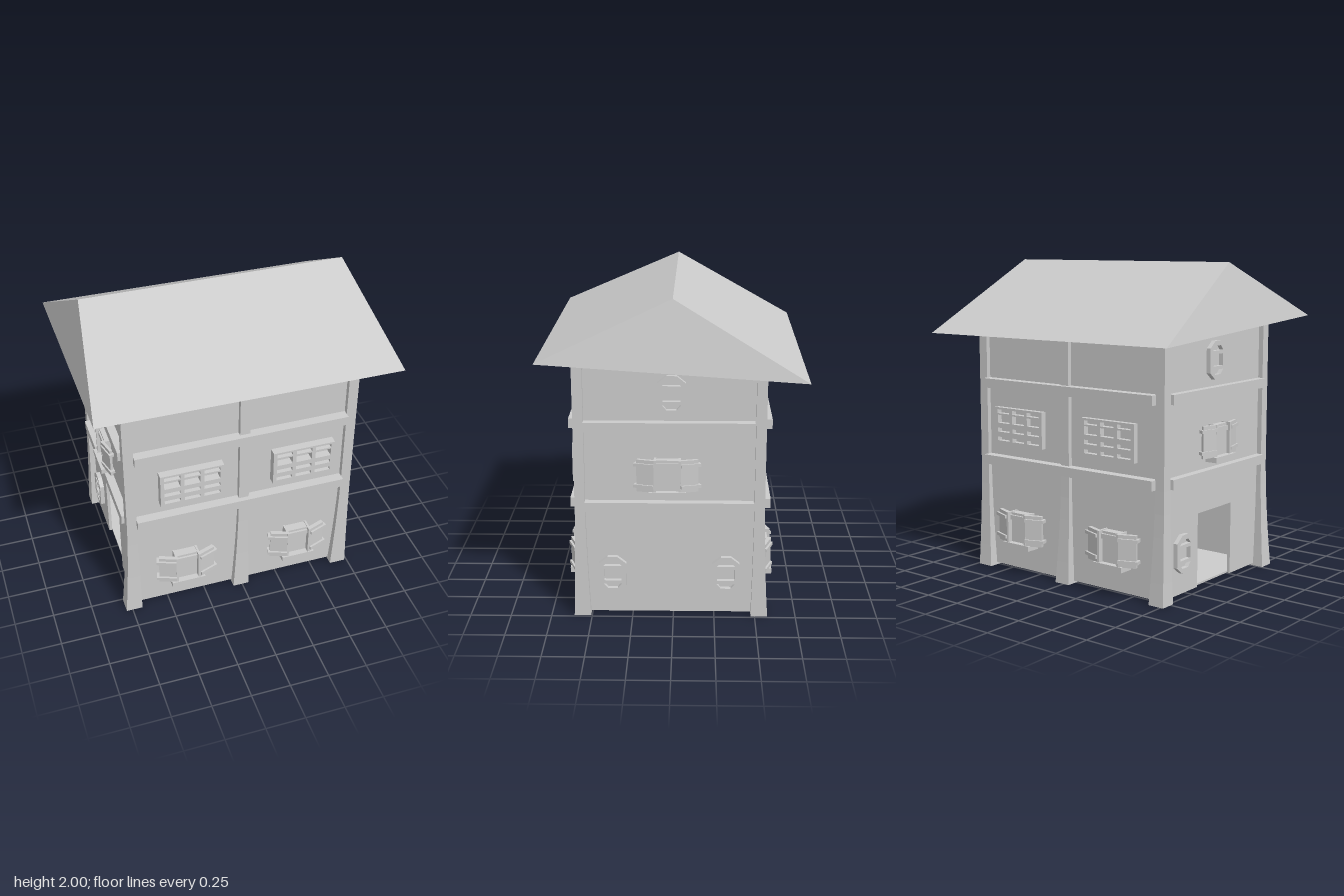
import * as THREE from 'three';

const material = new THREE.MeshStandardMaterial({ color: 0xcccccc, flatShading: true, side: THREE.DoubleSide });

// wall planes of the house
const X0 = -0.72, X1 = 0.70, Z0 = -0.52, Z1 = 0.56, BASE = 0.015, TOP = 1.64;

function add(parent, name, geometry, x = 0, y = 0, z = 0) {
  const mesh = new THREE.Mesh(geometry, material);
  mesh.name = name;
  mesh.position.set(x, y, z);
  parent.add(mesh);
  return mesh;
}

// box given by its limits
function block(parent, name, x0, x1, y0, y1, z0, z1) {
  return add(parent, name, new THREE.BoxGeometry(x1 - x0, y1 - y0, z1 - z0),
    (x0 + x1) / 2, (y0 + y1) / 2, (z0 + z1) / 2);
}

function polygon(points, Type = THREE.Shape) {
  return new Type(points.map(([x, y]) => new THREE.Vector2(x, y)));
}

function rect(x, y, w, h) {
  return [[x - w / 2, y - h / 2], [x + w / 2, y - h / 2], [x + w / 2, y + h / 2], [x - w / 2, y + h / 2]];
}

// plate with cut-outs, standing on z = 0
function plate(outline, holes, depth) {
  const shape = polygon(outline);
  for (const h of holes) shape.holes.push(polygon(h, THREE.Path));
  return new THREE.ExtrudeGeometry(shape, { depth, bevelEnabled: false });
}

// upright post whose foot flares outwards
function post(parent, x, z, footX, footZ, top = 1.65) {
  const geometry = new THREE.BoxGeometry(0.064, top, 0.062, 1, 12, 1);
  const p = geometry.attributes.position;
  for (let i = 0; i < p.count; i++) {
    const y = p.getY(i) + top / 2;
    const t = Math.max(0, 1 - y / 0.7) ** 1.6;
    p.setXYZ(i, x + p.getX(i) * (1 + 0.65 * t) + (footX - x) * t, y,
      z + p.getZ(i) * (1 + 0.65 * t) + (footZ - z) * t);
  }
  geometry.computeVertexNormals();
  add(parent, 'post', geometry);
}

// barred panel: three columns, four rows of slots
function grilleWindow() {
  const g = new THREE.Group();
  g.name = 'grilleWindow';
  const holes = [];
  for (const x of [-0.127, 0, 0.127])
    for (const [y, h] of [[0.092, 0.025], [0.043, 0.052], [-0.028, 0.026], [-0.086, 0.024]])
      holes.push(rect(x, y, 0.102, h));
  add(g, 'grille', plate(rect(0, 0, 0.404, 0.236), holes, 0.04));
  return g;
}

// long octagonal frame with three openings
function octagonWindow() {
  const g = new THREE.Group();
  g.name = 'octagonWindow';
  const outline = [[-0.03, -0.118], [0.03, -0.118], [0.084, -0.075], [0.084, 0.075],
    [0.03, 0.118], [-0.03, 0.118], [-0.084, 0.075], [-0.084, -0.075]];
  const slot = (s) => [[-0.056, 0.058 * s], [0.056, 0.058 * s], [0.03, 0.088 * s], [-0.03, 0.088 * s]];
  add(g, 'octagonFrame', plate(outline, [rect(0, 0, 0.104, 0.074), slot(1), slot(-1)], 0.028));
  return g;
}

// projecting window with shutters folded back to the wall
function shutterWindow(sillDepth = 0.085) {
  const g = new THREE.Group();
  g.name = 'shutterWindow';
  block(g, 'pane', -0.07, 0.07, -0.1, 0.095, 0, 0.05);
  block(g, 'lintel', -0.07, 0.07, 0.05, 0.08, 0, 0.062);
  block(g, 'sill', -0.11, 0.11, -0.13, -0.097, 0, sillDepth);
  for (const s of [-1, 1]) {
    block(g, 'jamb', s * 0.073 - 0.007, s * 0.073 + 0.007, -0.1, 0.1, 0, 0.08);
    const shutter = new THREE.Group();
    shutter.name = 'shutter';
    shutter.position.set(s * 0.128, 0, 0.05);
    shutter.rotation.y = s * 0.32;
    block(shutter, 'shutterPanel', -0.055, 0.055, -0.1, 0.1, -0.012, 0.012);
    for (const y of [-0.065, 0.068])
      block(shutter, 'shutterRail', s * 0.008 - 0.063, s * 0.008 + 0.063, y - 0.01, y + 0.01, -0.02, 0.024);
    g.add(shutter);
  }
  return g;
}

// mounts a window on a wall, turned to face outwards
function mount(parent, window, x, y, z, turn, depthScale = 1) {
  window.position.set(x, y, z);
  window.rotation.y = turn;
  window.scale.z = depthScale;
  parent.add(window);
}

function roofGeometry() {
  const c = {
    FL: [-0.94, 1.65, 0.77], FR: [0.925, 1.645, 0.78], BR: [0.93, 1.54, -0.775],
    BL: [-0.93, 1.55, -0.78], RL: [-0.83, 2, -0.01], RR: [0.83, 2, 0],
  };
  const faces = 'FL FR RR FL RR RL BR BL RL BR RL RR FR BR RR BL FL RL FL BL BR FL BR FR';
  const geometry = new THREE.BufferGeometry();
  geometry.setAttribute('position', new THREE.Float32BufferAttribute(faces.split(' ').flatMap((k) => c[k]), 3));
  geometry.computeVertexNormals();
  return geometry;
}

export function createModel() {
  const house = new THREE.Group();
  house.name = 'house';

  // walls and floor, doorway in the right wall
  const T = 0.02;
  block(house, 'frontWall', X0, X1, BASE, TOP, Z1 - T, Z1);
  block(house, 'backWall', X0, X1, BASE, TOP - 0.04, Z0, Z0 + T);
  block(house, 'leftWall', X1 - T, X1, BASE, TOP - 0.04, Z0 + T, Z1 - T);
  block(house, 'floor', X0 + T, X1 - T, BASE, BASE + 0.012, Z0 + T, Z1 - T);
  const d0 = -0.15, d1 = 0.22, doorTop = 0.48, a = Z0 + T, b = Z1 - T, h = TOP - 0.04;
  const doorWall = add(house, 'doorWall',
    plate([[a, BASE], [d0, BASE], [d0, doorTop], [d1, doorTop], [d1, BASE], [b, BASE], [b, h], [a, h]], [], T), X0);
  doorWall.rotation.y = -Math.PI / 2;
  doorWall.position.x = X0 + T;

  // posts at the corners and the middle of front and back
  for (const [z, footZ, shift] of [[0.56, 0.558, 0], [-0.517, -0.527, 0.02]]) {
    post(house, -0.72, z, -0.738 + shift, footZ);
    post(house, 0.005, z, -0.008 + shift, footZ);
    post(house, 0.697, z, 0.683, footZ);
  }

  // two rows of beams around the house
  for (const y of [0.69, 1.19]) {
    block(house, 'frontBeam', -0.69, 0.665, y, y + 0.06, Z1 - 0.01, 0.622);
    block(house, 'backBeam', -0.69, 0.665, y, y + 0.06, -0.585, Z0 + 0.01);
    block(house, 'leftBeam', X1 - 0.01, 0.75, y, y + 0.06, -0.48, 0.53);
    block(house, 'rightBeam', -0.77, X0 + 0.01, y, y + 0.06, -0.48, 0.53);
  }

  // front and back windows
  for (const [z, turn] of [[Z1, 0], [Z0, Math.PI]]) {
    for (const x of [-0.335, 0.39]) mount(house, grilleWindow(), x, 0.948, z, turn, turn ? 0.9 : 1.3);
    for (const x of [-0.38, 0.372]) mount(house, shutterWindow(), x, 0.3, z, turn, 1.12);
  }

  // side windows; the doorway replaces one on the right
  for (const [x, turn, lowZ, sill] of [[X1, Math.PI / 2, [0.37, -0.32], 0.09], [X0, -Math.PI / 2, [-0.32], 0.105]]) {
    mount(house, shutterWindow(sill), x, 0.92, 0.035, turn, 0.76);
    mount(house, octagonWindow(), x, 1.41, 0.01, turn);
    for (const z of lowZ) mount(house, octagonWindow(), x, 0.27, z, turn);
  }

  // gabled roof with a tilted underside
  add(house, 'roof', roofGeometry());
  return house;
}
